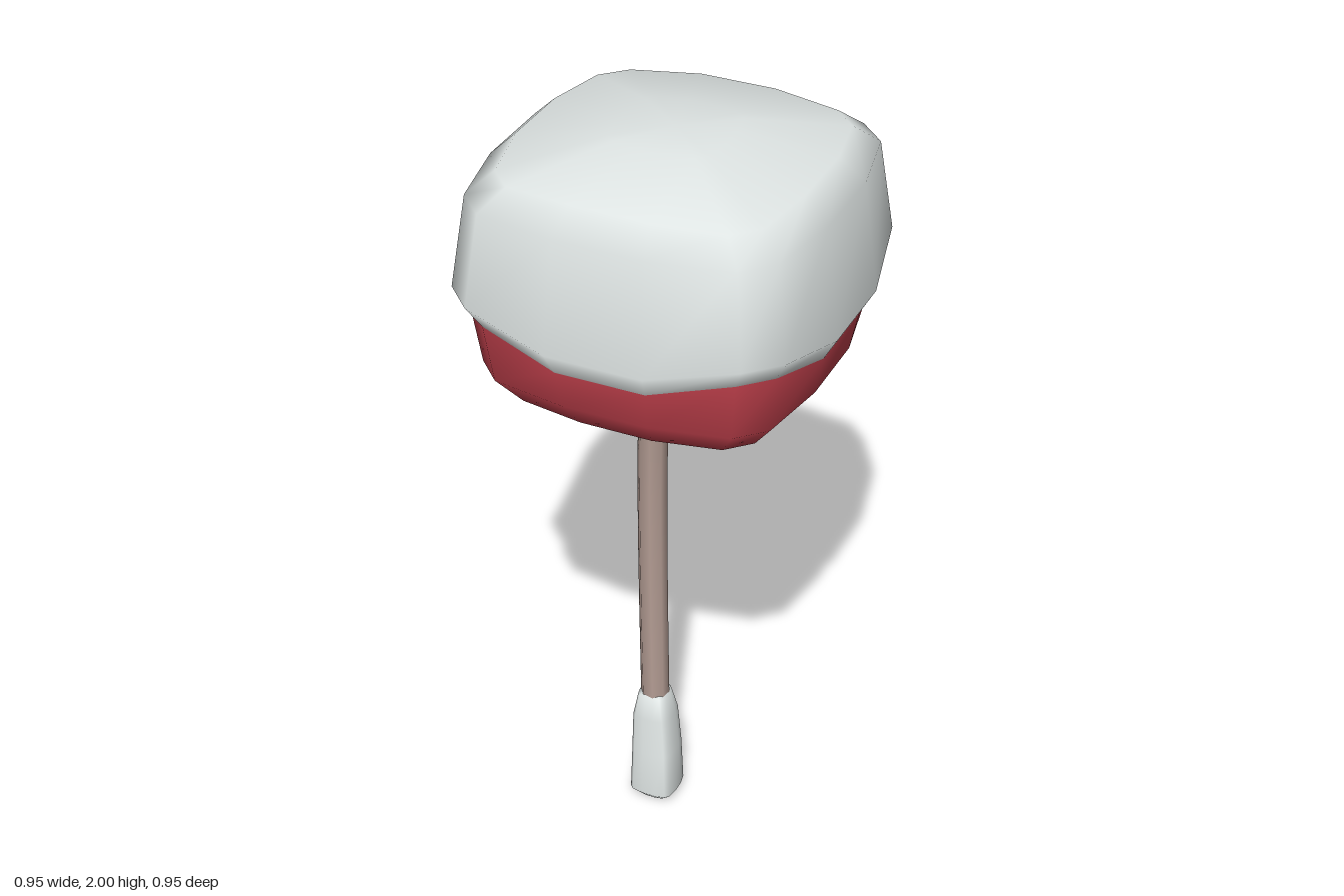
import * as THREE from 'three';

// One quarter of the rounded, slightly twisted square outline, turned four times
const quarter = [[-0.235, -0.475], [-0.015, -0.467], [0.22, -0.41], [0.42, -0.325]];
const outline = [];
for (let q = 0; q < 4; q++) {
  for (const [x, z] of quarter) {
    let p = [x, z];
    for (let k = 0; k < q; k++) p = [-p[1], p[0]];
    outline.push(p);
  }
}

// Smooth skin over rings listed from bottom to top.
// Ring: scale, y, how much higher its corners sit, centre x and z.
// Optional caps close an end with a point at the given height.
function loft(rings, { bottom, top }) {
  const n = outline.length, pos = [], idx = [];
  for (const { s, y, lift = 0, cx = 0, cz = 0 } of rings) {
    outline.forEach(([x, z], i) => {
      const corner = i % 4 === 0 || i % 4 === 3;
      pos.push(cx + x * s, y + (corner ? lift : 0), cz + z * s);
    });
  }
  for (let r = 0; r < rings.length - 1; r++) {
    for (let i = 0; i < n; i++) {
      const j = (i + 1) % n, a = r * n + i, b = r * n + j;
      idx.push(a, a + n, b, b, a + n, b + n);
    }
  }
  const cap = (r, y, up) => {
    const c = pos.length / 3, { cx = 0, cz = 0 } = rings[r];
    pos.push(cx, y, cz);
    for (let i = 0; i < n; i++) {
      const a = r * n + i, b = r * n + (i + 1) % n;
      if (up) idx.push(c, b, a); else idx.push(c, a, b);
    }
  };
  if (bottom !== undefined) cap(0, bottom, false);
  if (top !== undefined) cap(rings.length - 1, top, true);
  const g = new THREE.BufferGeometry();
  g.setAttribute('position', new THREE.Float32BufferAttribute(pos, 3));
  g.setIndex(idx);
  g.computeVertexNormals();
  return g;
}

function tube(points, segments, radius, sides) {
  const curve = new THREE.CatmullRomCurve3(points.map(p => new THREE.Vector3(...p)));
  return new THREE.TubeGeometry(curve, segments, radius, sides);
}

export function createModel() {
  const group = new THREE.Group();
  const material = (name, color) => {
    const m = new THREE.MeshStandardMaterial({ color });
    m.name = name;
    return m;
  };
  const snow = material('snow white', 0xdfe5e4);
  const red = material('foliage red', 0xc8434f);
  const bark = material('bark brown', 0xb39c93);
  const add = (name, geometry, mat) => {
    const mesh = new THREE.Mesh(geometry, mat);
    mesh.name = name;
    group.add(mesh);
  };

  // Crown: red foliage below, snow cap meeting it along a wavy edge
  const edge = { s: 0.925, y: 1.555, lift: 0.052 };
  add('foliage', loft([
    { s: 0.5, y: 1.376 },
    { s: 0.75, y: 1.38 },
    { s: 0.88, y: 1.455 },
    edge,
  ], { bottom: 1.375 }), red);
  add('snowCap', loft([
    edge,
    { s: 1, y: 1.615, lift: 0.05 },
    { s: 0.925, y: 1.895 },
    { s: 0.79, y: 1.953, lift: -0.008 },
    { s: 0.3, y: 1.997 },
  ], { top: 2.0 }), snow);

  // Trunk and side branch
  add('trunk', tube([
    [-0.062, 0.25, -0.03], [-0.068, 0.7, -0.038], [-0.068, 1.0, -0.037],
    [-0.062, 1.25, -0.027], [-0.06, 1.45, -0.015],
  ], 10, 0.038, 8), bark);
  add('branch', tube([
    [-0.06, 1.2, -0.03], [0.04, 1.2, -0.04], [0.135, 1.22, -0.063],
    [0.162, 1.3, -0.075], [0.166, 1.42, -0.075],
  ], 9, 0.026, 7), bark);

  // Snow packed around the foot of the trunk
  add('trunkSnow', loft([
    { s: 0.095, y: 0.004, cx: -0.055, cz: -0.01 },
    { s: 0.138, y: 0.025, cx: -0.055, cz: -0.012 },
    { s: 0.128, y: 0.15, cx: -0.058, cz: -0.025 },
    { s: 0.115, y: 0.26, cx: -0.062, cz: -0.03 },
    { s: 0.085, y: 0.325, cx: -0.064, cz: -0.031 },
  ], { bottom: 0, top: 0.345 }), snow);

  return group;
}
